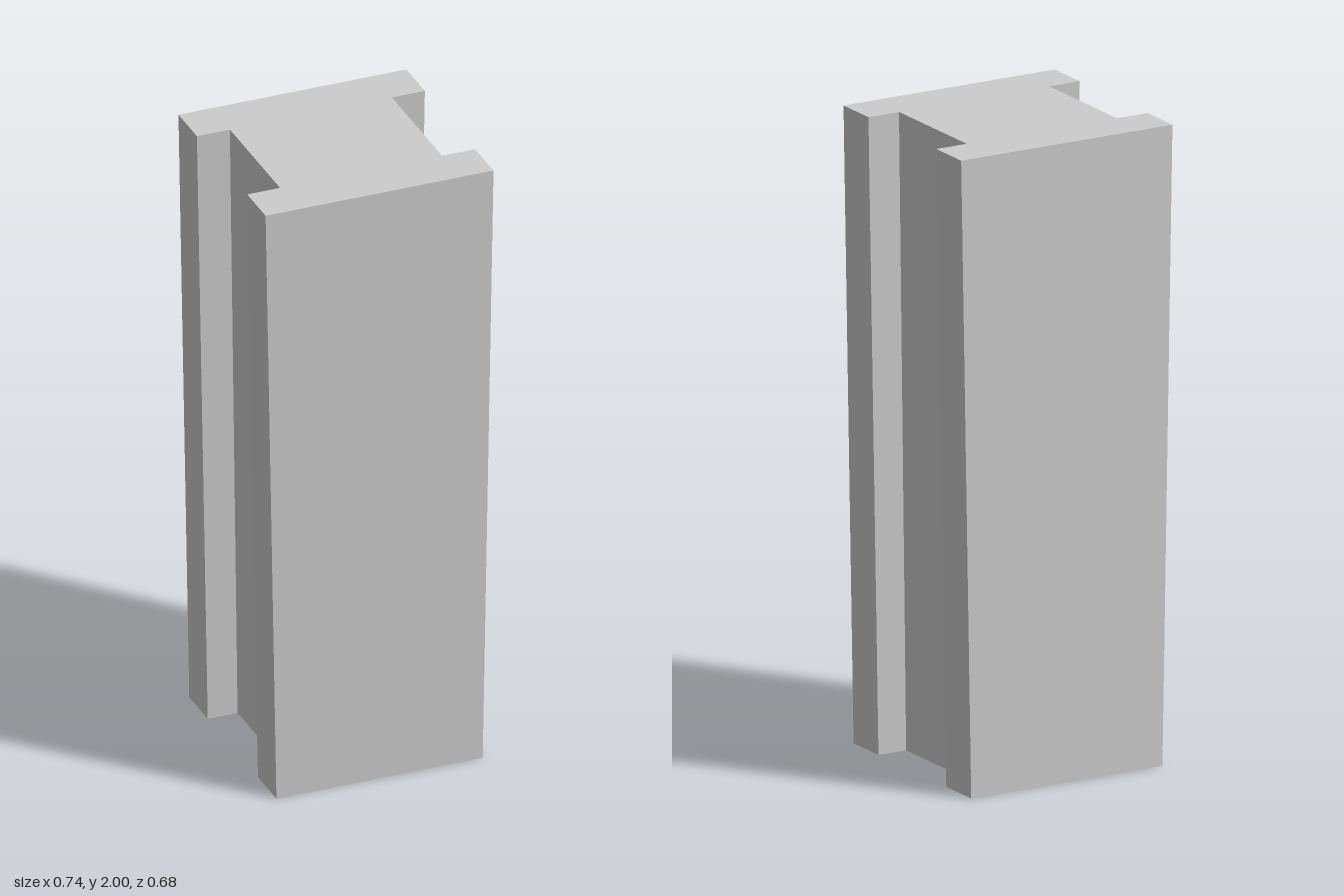
import * as THREE from 'three';

const HEIGHT = 2;
const BOTTOM_SCALE = 0.905; // the shaft narrows in x towards its foot

// I-shaped cross-section at the top, as [x, z], mirrored from the +x half
const half = [[0.37, 0.342], [0.37, 0.197], [0.263, 0.197], [0.263, -0.197], [0.37, -0.197], [0.37, -0.342]];
const outline = [...half, ...half.map(([x, z]) => [-x, z]).reverse()];

export function createModel() {
  const group = new THREE.Group();
  const material = new THREE.MeshStandardMaterial({ color: 0xcccccc, flatShading: true, side: THREE.DoubleSide });

  const add = (name, geometry) => {
    const mesh = new THREE.Mesh(geometry, material);
    mesh.name = name;
    group.add(mesh);
  };

  // Tapered side walls, one quad per outline edge; the foot stays open
  const positions = [];
  outline.forEach(([x0, z0], i) => {
    const [x1, z1] = outline[(i + 1) % outline.length];
    const a = [x0 * BOTTOM_SCALE, 0, z0], b = [x1 * BOTTOM_SCALE, 0, z1];
    const c = [x1, HEIGHT, z1], d = [x0, HEIGHT, z0];
    positions.push(...a, ...b, ...c, ...a, ...c, ...d);
  });
  const walls = new THREE.BufferGeometry();
  walls.setAttribute('position', new THREE.Float32BufferAttribute(positions, 3));
  walls.computeVertexNormals();
  add('shaftWalls', walls);

  // Flat top cap
  const shape = new THREE.Shape(outline.map(([x, z]) => new THREE.Vector2(x, -z)));
  add('topCap', new THREE.ShapeGeometry(shape).rotateX(-Math.PI / 2).translate(0, HEIGHT, 0));

  return group;
}
